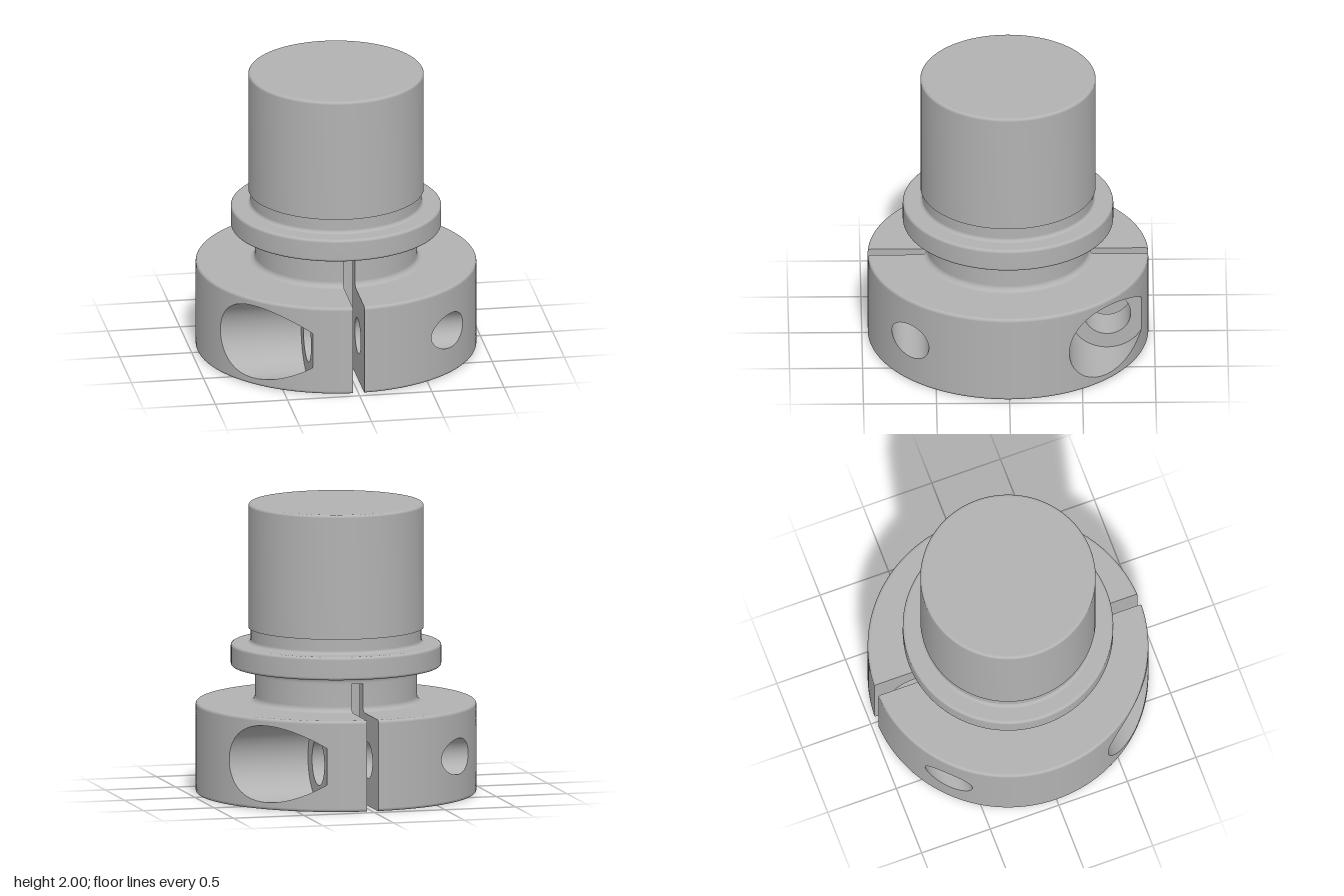
import * as THREE from 'three';

const R = 0.96, BORE = 0.464, NECK = 0.555;      // collar, bore and neck radii
const GAP = 0.04, SLIT_TOP = 0.825;              // half width and top of the slit
const BOLT_Y = 0.315, BOLT_Z = 0.675, SEAT_X = 0.31;
const THREAD = 0.125, CLEAR = 0.16, POCKET = 0.265;
const Y0 = 0.02, Y1 = 0.61;                      // straight part of the collar wall

const v2 = (x, y) => new THREE.Vector2(x, y);

// Rounded corner as profile points
function arc(cx, cy, r, a0, a1, n = 5) {
  return Array.from({ length: n + 1 }, (_, i) => {
    const a = a0 + (a1 - a0) * i / n;
    return v2(cx + r * Math.cos(a), cy + r * Math.sin(a));
  });
}

// Half turn of a profile, pulled back so that it ends on the flat slit wall
function halfLathe(points) {
  const g = new THREE.LatheGeometry(points, 64, 0, Math.PI);
  const p = g.attributes.position;
  for (let i = 0; i < p.count; i++) {
    const x = p.getX(i), z = p.getZ(i), r = Math.hypot(x, z);
    const a = Math.asin(GAP / r);
    const phi = a + Math.atan2(Math.max(x, 0), z) * (1 - 2 * a / Math.PI);
    p.setX(i, r * Math.sin(phi));
    p.setZ(i, r * Math.cos(phi));
  }
  g.computeVertexNormals();
  return g;
}

// Skin between closed loops of [x, y, z] points
function skin(loops) {
  const n = loops[0].length, index = [];
  for (let i = 0; i < loops.length - 1; i++) {
    for (let j = 0; j < n; j++) {
      const k = (j + 1) % n;
      const a = i * n + j, b = i * n + k, c = a + n, d = b + n;
      index.push(a, c, d, a, d, b);
    }
  }
  const g = new THREE.BufferGeometry();
  g.setAttribute('position', new THREE.Float32BufferAttribute(loops.flat(2), 3));
  g.setIndex(index);
  g.computeVertexNormals();
  return g;
}

// Wall sector from phi0 to phi1 around one bolt hole, with matching hole loops
function boltSector(phi0, phi1, zc, radius) {
  const phiC = Math.acos(zc / R), N = 32, rim = [];
  const corners = [[phi0, Y0], [phi1, Y0], [phi1, Y1], [phi0, Y1]];
  corners.forEach((c, s) => {
    const d = corners[(s + 1) % 4];
    for (let i = 0; i < N; i++) {
      rim.push([c[0] + (d[0] - c[0]) * i / N, c[1] + (d[1] - c[1]) * i / N]);
    }
  });
  const angles = rim.map(([p, y]) => Math.atan2(y - BOLT_Y, (p - phiC) * R));
  const zMax = Math.sqrt(R * R - SEAT_X * SEAT_X);
  const zy = (t, r) => [
    THREE.MathUtils.clamp(zc - r * Math.cos(t), -zMax, zMax), BOLT_Y + r * Math.sin(t)];
  const flatLoop = (x, r) => angles.map(t => { const [z, y] = zy(t, r); return [x, y, z]; });
  const wallLoop = r => angles.map(t => {
    const [z, y] = zy(t, r);
    return [Math.sqrt(R * R - z * z), y, z];
  });
  const rows = 10, loops = [];
  for (let i = 0; i <= rows; i++) {
    const f = i / rows;
    loops.push(rim.map(([p, y], j) => {
      const [hz, hy] = zy(angles[j], radius);
      const phi = THREE.MathUtils.lerp(Math.acos(hz / R), p, f);
      return [R * Math.sin(phi), THREE.MathUtils.lerp(hy, y, f), R * Math.cos(phi)];
    }));
  }
  const wall = skin(loops);
  const pos = wall.attributes.position, nor = wall.attributes.normal;
  for (let i = 0; i < pos.count; i++) nor.setXYZ(i, pos.getX(i) / R, 0, pos.getZ(i) / R);
  return { wall, flatLoop, wallLoop };
}

export function createModel() {
  const model = new THREE.Group();
  model.name = 'clampShaft';
  const steel = new THREE.MeshStandardMaterial({ color: 0xb2b2b2, side: THREE.DoubleSide });
  steel.name = 'steel grey';
  const add = (parent, name, geometry) => {
    const mesh = new THREE.Mesh(geometry, steel);
    mesh.name = name;
    parent.add(mesh);
  };
  const H = Math.PI / 2;

  // Shaft, flange and top of the neck; doubled points keep an edge sharp
  const upper = [
    v2(0, SLIT_TOP), v2(NECK, SLIT_TOP), v2(NECK, SLIT_TOP),
    ...arc(NECK + 0.04, 0.835, 0.04, Math.PI, H),
    ...arc(0.70, 0.895, 0.02, -H, 0),
    ...arc(0.70, 1.015, 0.02, 0, H),
    ...arc(0.61, 1.06, 0.025, -H, -Math.PI),
    v2(0.585, 1.14), v2(0.585, 1.14), v2(0.60, 1.14), v2(0.60, 1.14),
    ...arc(0.58, 1.98, 0.02, 0, H), v2(0, 2),
  ];
  const shaft = new THREE.LatheGeometry(upper, 96);
  shaft.computeVertexNormals();
  add(model, 'shaftAndFlange', shaft);

  // Profiles of the split collar below and above its straight wall
  const base = [v2(BORE, 0), ...arc(R - 0.02, Y0, 0.02, -H, 0)];
  const shoulder = [
    ...arc(R - 0.02, Y1, 0.02, 0, H),
    ...arc(NECK + 0.04, Y1 + 0.06, 0.04, -H, -Math.PI),
    v2(NECK, SLIT_TOP),
  ];
  const section = [...base, ...shoulder, v2(BORE, SLIT_TOP)];

  // Flat slit wall with its bolt hole, on the front (1) or back (-1)
  const slitWall = (side, radius) => {
    const shape = new THREE.Shape(
      section.map(p => v2(side * Math.sqrt(p.x * p.x - GAP * GAP), p.y)));
    const hole = new THREE.Path();
    hole.absarc(side * BOLT_Z, BOLT_Y, radius, 0, 2 * Math.PI, true);
    shape.holes.push(hole);
    return new THREE.ShapeGeometry(shape, 32).rotateY(-H).translate(GAP, 0, 0);
  };

  // Two equal collar halves, each with one threaded hole and one screw pocket
  const edge = Math.asin(GAP / R);
  for (let i = 0; i < 2; i++) {
    const half = new THREE.Group();
    half.name = i ? 'rightCollarHalf' : 'leftCollarHalf';
    half.rotation.y = i * Math.PI;
    model.add(half);

    add(half, 'collarBase', halfLathe(base));
    add(half, 'collarShoulder', halfLathe(shoulder));
    add(half, 'bore', halfLathe([v2(BORE, SLIT_TOP), v2(BORE, 0)]));
    add(half, 'frontSlitWall', slitWall(1, THREAD));
    add(half, 'backSlitWall', slitWall(-1, CLEAR));

    const thread = boltSector(edge, H, BOLT_Z, THREAD);
    add(half, 'threadedSideWall', thread.wall);
    add(half, 'threadedHole', skin([thread.flatLoop(GAP, THREAD), thread.wallLoop(THREAD)]));

    const pocket = boltSector(H, Math.PI - edge, -BOLT_Z, POCKET);
    add(half, 'pocketSideWall', pocket.wall);
    add(half, 'screwPocket', skin([pocket.flatLoop(SEAT_X, POCKET), pocket.wallLoop(POCKET)]));
    add(half, 'screwSeat', skin([pocket.flatLoop(SEAT_X, CLEAR), pocket.flatLoop(SEAT_X, POCKET)]));
    add(half, 'clearanceHole', skin([pocket.flatLoop(GAP, CLEAR), pocket.flatLoop(SEAT_X, CLEAR)]));
  }
  return model;
}
